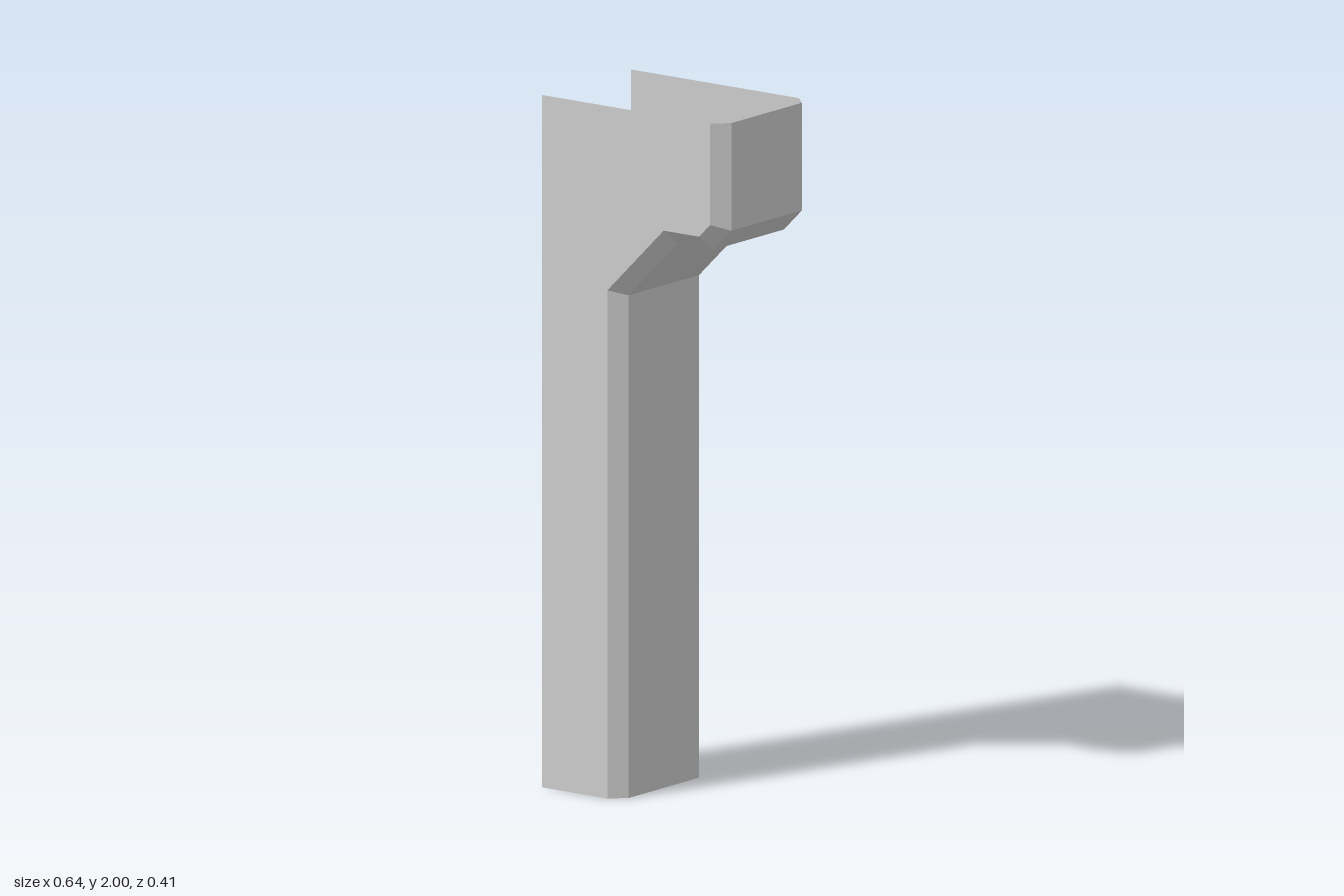
import * as THREE from 'three';

const BACK_X = -0.32, HEIGHT = 2;
const FACE_Z = 0.163, CHEEK_Z = 0.205;

// Bracket profile from foot to top: outer face line and the line inside the bevel
const outer = [[-0.045, 0], [-0.045, 1.452], [0.128, 1.625], [0.256, 1.625], [0.32, 1.689], [0.32, HEIGHT]];
const inner = [[-0.088, 0], [-0.088, 1.468], [0.112, 1.668], [0.238, 1.668], [0.277, 1.707], [0.277, HEIGHT]];

const material = new THREE.MeshStandardMaterial({ color: 0xcccccc, flatShading: true, side: THREE.DoubleSide });

// Sheet stretched between two profile lines at two depths
function strip(name, lineA, zA, lineB, zB) {
  const pos = [];
  for (let i = 0; i < lineA.length - 1; i++) {
    const a = [...lineA[i], zA], b = [...lineB[i], zB];
    const c = [...lineB[i + 1], zB], d = [...lineA[i + 1], zA];
    pos.push(...a, ...b, ...c, ...a, ...c, ...d);
  }
  const geo = new THREE.BufferGeometry();
  geo.setAttribute('position', new THREE.Float32BufferAttribute(pos, 3));
  geo.computeVertexNormals();
  const mesh = new THREE.Mesh(geo, material);
  mesh.name = name;
  return mesh;
}

// Flat side panel, open toward the back edge
function cheek() {
  const shape = new THREE.Shape([[BACK_X, 0], ...inner, [BACK_X, HEIGHT]].map(p => new THREE.Vector2(...p)));
  const mesh = new THREE.Mesh(new THREE.ShapeGeometry(shape), material);
  mesh.name = 'sidePanel';
  mesh.position.z = CHEEK_Z;
  return mesh;
}

export function createModel() {
  const group = new THREE.Group();
  group.name = 'pillarBracket';

  // Stepped face of the post and its overhanging head
  group.add(strip('postFace', outer, FACE_Z, outer, -FACE_Z));

  // Side panel and bevel, mirrored front to back
  for (const s of [1, -1]) {
    const side = new THREE.Group();
    side.name = s > 0 ? 'frontSide' : 'backSide';
    side.add(cheek(), strip('bevel', inner, CHEEK_Z, outer, FACE_Z));
    side.scale.z = s;
    group.add(side);
  }
  return group;
}
